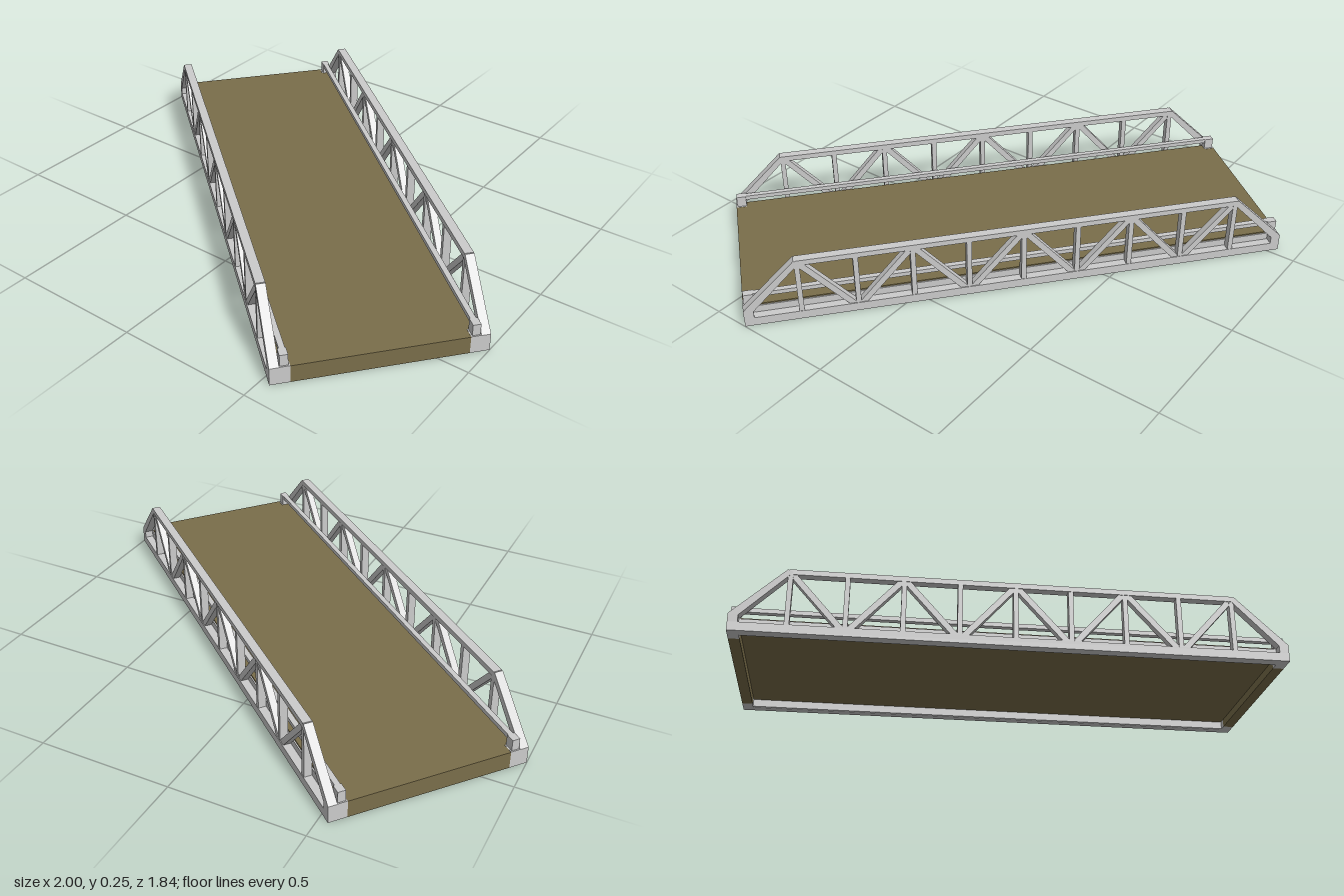
import * as THREE from 'three';

const steel = new THREE.MeshStandardMaterial({ color: 0xcccccc, flatShading: true });
const planks = new THREE.MeshStandardMaterial({ color: 0x7a6e4a, flatShading: true });

// Box given by its limits on each axis
function block(parent, name, [x0, x1], [y0, y1], [z0, z1], material = steel) {
  const mesh = new THREE.Mesh(new THREE.BoxGeometry(x1 - x0, y1 - y0, z1 - z0), material);
  mesh.position.set((x0 + x1) / 2, (y0 + y1) / 2, (z0 + z1) / 2);
  mesh.name = name;
  parent.add(mesh);
}

// Straight bar between two points in the plane of a truss
function bar(parent, name, ax, ay, bx, by, thick, z, depth) {
  const length = Math.hypot(bx - ax, by - ay);
  const mesh = new THREE.Mesh(new THREE.BoxGeometry(length, thick, depth), steel);
  mesh.position.set((ax + bx) / 2, (ay + by) / 2, z);
  mesh.rotation.z = Math.atan2(by - ay, bx - ax);
  mesh.name = name;
  parent.add(mesh);
}

const HALF = 1, OUT = 0.3625, IN = 0.33, TOP = 0.25;
const MID = (OUT + IN) / 2, DEPTH = OUT - IN;

function makeTruss(side) {
  const truss = new THREE.Group();
  truss.name = side > 0 ? 'frontTruss' : 'backTruss';
  const z = side * MID;
  const span = (a, b) => (side > 0 ? [a, b] : [-b, -a]);

  block(truss, 'bottomChord', [-HALF, HALF], [0, 0.033], span(IN, OUT));
  block(truss, 'stringer', [-0.96, 0.96], [0.001, 0.06], span(0.322, IN + 0.002));
  block(truss, 'topChord', [-0.805, 0.805], [TOP - 0.02, TOP], span(IN, OUT));

  // Uprights at every panel point
  for (let i = -4; i <= 4; i++) {
    bar(truss, 'upright', i * 0.2, 0.03, i * 0.2, TOP - 0.01, 0.018, z, DEPTH * 0.9);
  }
  // Paired diagonals rising from every other panel point
  for (const x of [-0.6, -0.2, 0.2, 0.6]) {
    for (const d of [-1, 1]) {
      bar(truss, 'diagonal', x + d * 0.015, 0.03, x + d * 0.195, TOP - 0.015, 0.022, z, DEPTH * 0.8);
    }
  }
  for (const end of [-1, 1]) {
    // Sloping end post
    const shape = new THREE.Shape([
      [1, 0.03], [1, 0.065], [0.81, TOP], [0.79, TOP - 0.01], [0.965, 0.06], [0.965, 0.03],
    ].map(([x, y]) => new THREE.Vector2(end * x, y)));
    const post = new THREE.Mesh(
      new THREE.ExtrudeGeometry(shape, { depth: DEPTH, bevelEnabled: false }), steel);
    post.position.z = z - DEPTH / 2;
    post.name = 'endPost';
    truss.add(post);

    // Bearing block and the short rail post standing on it
    const x = end > 0 ? [0.96, HALF] : [-HALF, -0.96];
    block(truss, 'bearingBlock', x, [0, 0.066], span(0.295, IN));
    block(truss, 'railPost', end > 0 ? [0.96, 0.995] : [-0.995, -0.96], [0.06, 0.108], span(0.3, 0.328));
  }
  // Low guard rail inside the truss
  block(truss, 'guardRail', [-0.97, 0.97], [0.092, 0.108], span(0.303, 0.323));
  return truss;
}

export function createModel() {
  const model = new THREE.Group();
  const bridge = new THREE.Group();
  bridge.name = 'bridge';
  // The bridge stands diagonally
  bridge.rotation.y = -THREE.MathUtils.degToRad(39.9);
  model.add(bridge);

  block(bridge, 'deck', [-0.96, 0.96], [0.03, 0.065], [-0.327, 0.327], planks);
  block(bridge, 'endBeam', [0.96, HALF], [0, 0.065], [-0.295, 0.295], planks);
  block(bridge, 'endBeam', [-HALF, -0.96], [0, 0.065], [-0.295, 0.295], planks);
  for (const side of [-1, 1]) bridge.add(makeTruss(side));
  return model;
}
